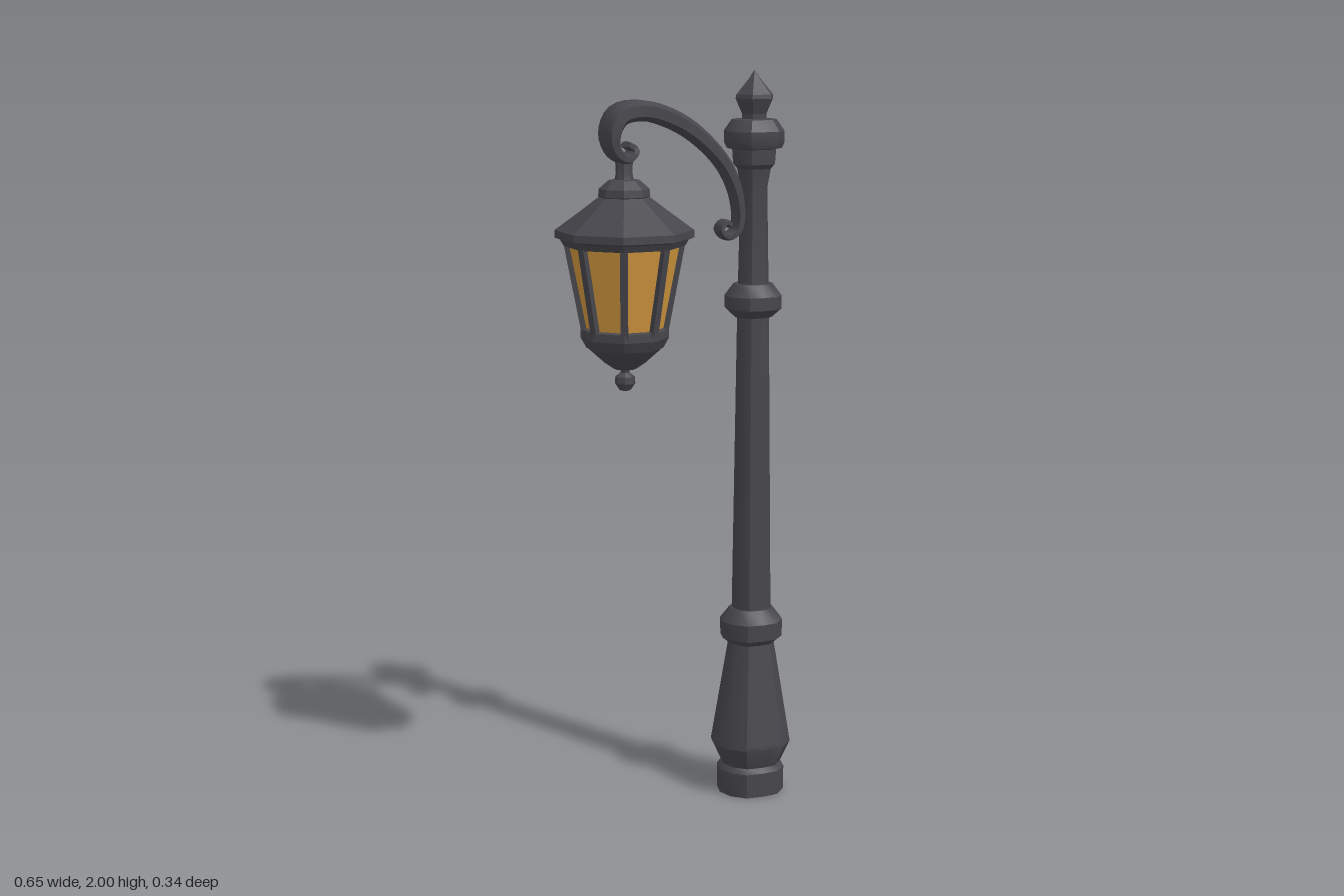
import * as THREE from 'three';
import { toCreasedNormals } from 'three/addons/utils/BufferGeometryUtils.js';

const iron = new THREE.MeshStandardMaterial({ color: 0x47464c });
iron.name = 'dark iron';
const amber = new THREE.MeshStandardMaterial({ color: 0xd0963e, side: THREE.DoubleSide });
amber.name = 'amber glass';

const POLE_X = 0.215, LAMP_X = -0.158;
const OCT = 1 / Math.cos(Math.PI / 8); // flat half-width to corner radius

function part(name, geometry, material, crease) {
  const mesh = new THREE.Mesh(toCreasedNormals(geometry, crease), material);
  mesh.name = name;
  return mesh;
}

// Profile rows are [radius, y], from bottom to top
function turned(name, rows, sides, start, scale = 1, material = iron, crease = 0.3) {
  const points = rows.map(([r, y]) => new THREE.Vector2(r * scale, y));
  return part(name, new THREE.LatheGeometry(points, sides, start), material, crease);
}

// Pole sections have slightly flattened front and back faces
function poleSection(name, rows) {
  const points = rows.map(([r, y]) => new THREE.Vector2(r, y));
  const geo = new THREE.LatheGeometry(points, 12, Math.PI / 2);
  const p = geo.attributes.position;
  for (let i = 0; i < p.count; i++) {
    const limit = 0.92 * Math.hypot(p.getX(i), p.getZ(i));
    p.setZ(i, THREE.MathUtils.clamp(p.getZ(i), -limit, limit));
  }
  return part(name, geo, iron, 0.56);
}

// Sweep a rounded section along a flat path; rows are [x, y, halfThickness, halfWidth]
function scrollArm(rows, steps, sides) {
  const path = new THREE.CatmullRomCurve3(rows.map(r => new THREE.Vector3(r[0], r[1], 0)));
  const size = new THREE.CatmullRomCurve3(rows.map(r => new THREE.Vector3(r[2], r[3], 0)), false, 'catmullrom', 0.5);
  const pos = [], index = [];
  const soft = v => Math.sign(v) * Math.pow(Math.abs(v), 0.7);
  for (let i = 0; i <= steps; i++) {
    const c = path.getPoint(i / steps), t = path.getTangent(i / steps), s = size.getPoint(i / steps);
    for (let j = 0; j < sides; j++) {
      const a = (j / sides) * Math.PI * 2 + Math.PI / sides;
      const h = s.x * soft(Math.cos(a)) * 1.08;
      pos.push(c.x - t.y * h, c.y + t.x * h, s.y * soft(Math.sin(a)) * 1.05);
    }
  }
  for (let i = 0; i < steps; i++) {
    for (let j = 0; j < sides; j++) {
      const k = (j + 1) % sides;
      const a = i * sides + j, b = i * sides + k;
      index.push(a, b, b + sides, a, b + sides, a + sides);
    }
  }
  const end = steps * sides;
  for (let j = 1; j < sides - 1; j++) {
    index.push(0, j + 1, j, end, end + j, end + j + 1);
  }
  const geo = new THREE.BufferGeometry();
  geo.setAttribute('position', new THREE.Float32BufferAttribute(pos, 3));
  geo.setIndex(index);
  return part('scrollArm', geo, iron, 0.85);
}

function createPole() {
  const pole = new THREE.Group();
  pole.name = 'pole';
  pole.position.x = POLE_X;
  pole.add(
    poleSection('foot', [[0, 0], [0.093, 0], [0.094, 0.068], [0.084, 0.082], [0, 0.082]]),
    poleSection('base', [[0.082, 0.08], [0.111, 0.142], [0.109, 0.155], [0.063, 0.435]]),
    poleSection('lowerCollar', [[0.06, 0.428], [0.085, 0.448], [0.087, 0.495], [0.06, 0.53], [0.05, 0.53]]),
    poleSection('shaft', [[0.054, 0.52], [0.043, 1.36], [0.041, 1.45], [0.036, 1.69], [0.045, 1.74]]),
    poleSection('middleCollar', [[0.04, 1.34], [0.052, 1.342], [0.077, 1.365], [0.077, 1.4], [0.053, 1.432], [0.03, 1.432]]),
    poleSection('neckRing', [[0.04, 1.735], [0.056, 1.752], [0.059, 1.795]]),
    poleSection('topCollar', [[0.05, 1.79], [0.074, 1.795], [0.081, 1.81], [0.081, 1.84], [0.06, 1.87], [0, 1.874]]),
    turned('finial', [[0.036, 1.865], [0.036, 1.885], [0.055, 1.925], [0.053, 1.936], [0.018, 1.975], [0, 2]], 6, Math.PI / 2)
  );
  return pole;
}

function createLantern() {
  const lantern = new THREE.Group();
  lantern.name = 'lantern';
  lantern.position.x = LAMP_X;
  const oct = (name, rows, material) => turned(name, rows, 8, Math.PI / 8, OCT, material);
  lantern.add(
    oct('roof', [[0, 1.55], [0.147, 1.55], [0.156, 1.567], [0.169, 1.572], [0.169, 1.592], [0.155, 1.603], [0.102, 1.645], [0.062, 1.678]]),
    oct('roofCap', [[0.05, 1.67], [0.063, 1.68], [0.061, 1.7], [0.038, 1.722], [0, 1.726]]),
    oct('hangerStem', [[0.024, 1.72], [0.02, 1.74], [0.022, 1.785]]),
    oct('glassPanes', [[0.096, 1.325], [0.137, 1.552]], amber),
    oct('lowerRim', [[0, 1.28], [0.094, 1.28], [0.108, 1.308], [0.108, 1.33], [0.095, 1.335], [0, 1.335]]),
    oct('lowerBowl', [[0, 1.222], [0.028, 1.224], [0.05, 1.24], [0.094, 1.282]]),
    oct('dropKnob', [[0, 1.163], [0.014, 1.167], [0.025, 1.185], [0.024, 1.203], [0.011, 1.214], [0.013, 1.228]])
  );

  // Sloping bars at the corners of the glass
  const up = new THREE.Vector3(0, 1, 0);
  for (let i = 0; i < 8; i++) {
    const low = new THREE.Vector3(0, 1.32, 0.098 * OCT), high = new THREE.Vector3(0, 1.56, 0.14 * OCT);
    const along = high.clone().sub(low);
    const bar = part('cornerBar', new THREE.BoxGeometry(0.02, along.length(), 0.016), iron, 0.3);
    bar.position.copy(low).add(high).multiplyScalar(0.5);
    bar.quaternion.setFromUnitVectors(up, along.normalize());
    const corner = new THREE.Group();
    corner.name = 'cornerFrame';
    corner.rotation.y = (i + 0.5) * Math.PI / 4;
    corner.add(bar);
    lantern.add(corner);
  }
  return lantern;
}

export function createModel() {
  const model = new THREE.Group();
  model.name = 'streetLamp';
  model.add(createPole(), createLantern());

  // Bracket: small scroll by the pole, wide curl above the lantern
  model.add(scrollArm([
    [0.143, 1.592, 0.008, 0.024], [0.127, 1.6, 0.008, 0.025], [0.114, 1.581, 0.009, 0.027],
    [0.132, 1.562, 0.01, 0.028], [0.158, 1.573, 0.011, 0.03], [0.169, 1.607, 0.013, 0.03],
    [0.161, 1.676, 0.015, 0.031], [0.127, 1.751, 0.018, 0.031], [0.063, 1.82, 0.021, 0.031],
    [-0.011, 1.87, 0.024, 0.033], [-0.106, 1.9, 0.026, 0.043], [-0.174, 1.889, 0.026, 0.047],
    [-0.198, 1.841, 0.022, 0.046], [-0.185, 1.793, 0.016, 0.04], [-0.153, 1.777, 0.013, 0.035],
    [-0.132, 1.798, 0.011, 0.032], [-0.153, 1.814, 0.009, 0.03]
  ], 64, 8));
  return model;
}
